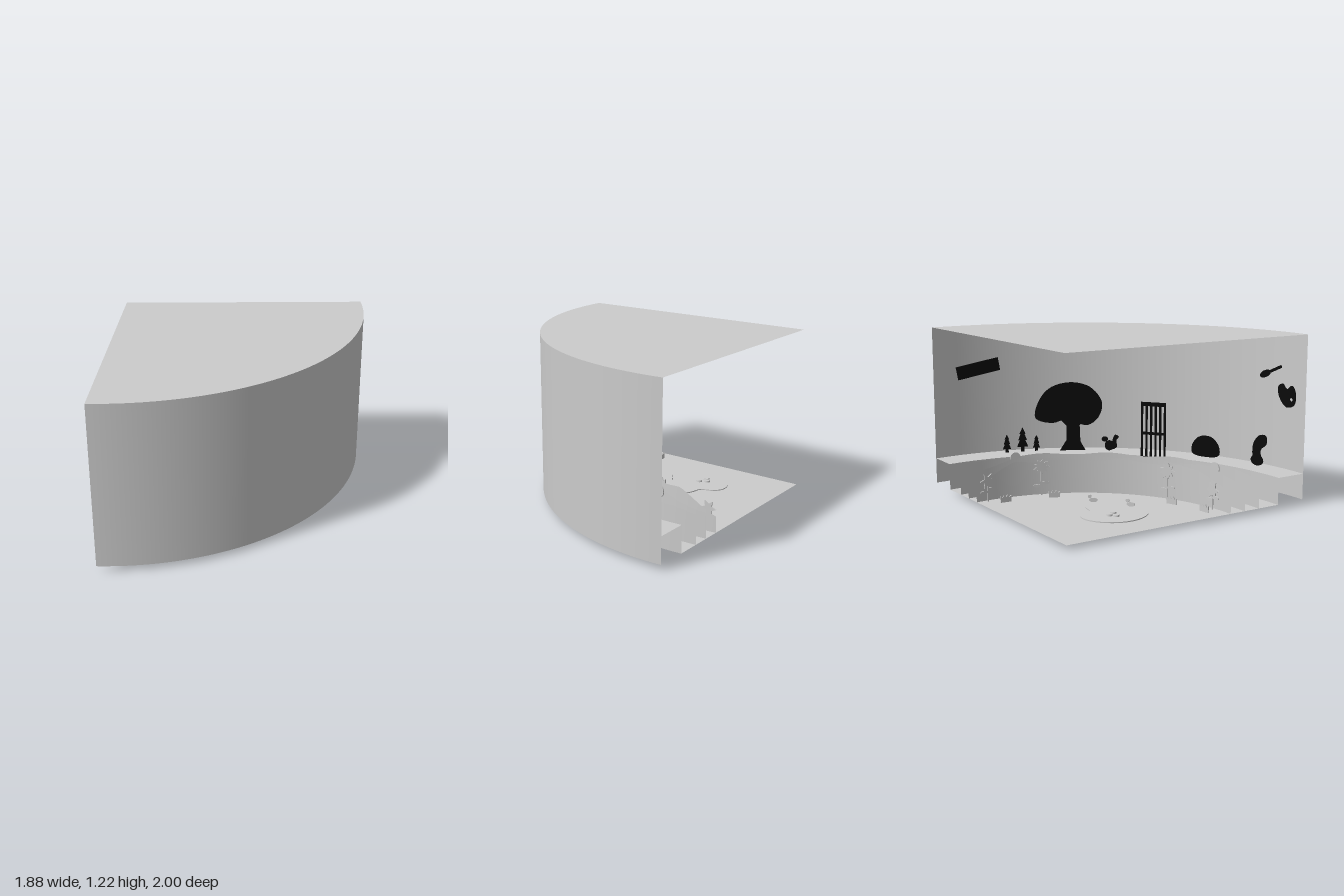
import * as THREE from 'three';

const CX = -0.92, CZ = -0.86, R = 1.86, FLOOR = 0.035, TOP = 1.22, LEDGE = 0.225;
const rad = THREE.MathUtils.degToRad;
const grey = new THREE.MeshStandardMaterial({ color: 0xcccccc, side: THREE.DoubleSide });
const black = new THREE.MeshStandardMaterial({ color: 0x0a0a0a, side: THREE.DoubleSide });

// point on the arc of radius r at fraction t between the two open sides
function arc(r, t, y) {
  const a0 = -(0.08 / r + 0.033), a1 = rad(90.5);
  const a = a0 + (a1 - a0) * t;
  return [CX + r * Math.cos(a), y, CZ + r * Math.sin(a)];
}

// surface spanned between two curves
function sheet(name, fa, fb, n = 72) {
  const pos = [], idx = [];
  for (let i = 0; i <= n; i++) {
    pos.push(...fa(i / n), ...fb(i / n));
    if (i < n) idx.push(2 * i, 2 * i + 1, 2 * i + 2, 2 * i + 1, 2 * i + 3, 2 * i + 2);
  }
  const g = new THREE.BufferGeometry();
  g.setAttribute('position', new THREE.Float32BufferAttribute(pos, 3));
  g.setIndex(idx);
  g.computeVertexNormals();
  const m = new THREE.Mesh(g, grey);
  m.name = name;
  return m;
}

// flat outlines
const poly = (pts) => new THREE.Shape(pts.map(([x, y]) => new THREE.Vector2(x, y)));
const blob = (pts) => new THREE.Shape(
  new THREE.CatmullRomCurve3(pts.map(([x, y]) => new THREE.Vector3(x, y, 0)), true)
    .getPoints(48).slice(0, 48).map((p) => new THREE.Vector2(p.x, p.y)));
const oval = (x, y, a, b) => new THREE.Shape().absellipse(x, y, a, b, 0, Math.PI * 2);
const rect = (x0, y0, x1, y1) => poly([[x0, y0], [x1, y0], [x1, y1], [x0, y1]]);
function star(x, y, n, r0, r1) {
  const p = [];
  for (let i = 0; i < 2 * n; i++) {
    const a = Math.PI * i / n, r = i % 2 ? r0 : r1;
    p.push([x + r * Math.cos(a), y + r * Math.sin(a)]);
  }
  return poly(p);
}

// cutout board standing on the arc, facing the open corner
function cutout(name, r, deg, y, shapes, mat = black, tilt = 0) {
  const a = rad(deg), g = new THREE.Group();
  g.name = name;
  for (const s of shapes) {
    const geo = new THREE.ExtrudeGeometry(s, { depth: 0.008, bevelEnabled: false, curveSegments: 16 });
    const m = new THREE.Mesh(geo, mat);
    m.name = name + 'Board';
    g.add(m);
  }
  g.position.set(CX + r * Math.cos(a), y, CZ + r * Math.sin(a));
  g.rotation.set(0, Math.atan2(-Math.cos(a), -Math.sin(a)), tilt);
  return g;
}

function pine(h) {
  const p = [[0.012, 0], [0.012, 0.2 * h]];
  for (const [w, y] of [[0.045, 0.2], [0.022, 0.48], [0.035, 0.48], [0.016, 0.74], [0.025, 0.74]]) p.push([w * h / 0.2, y * h]);
  return poly([...p, [0, h], ...p.slice().reverse().map(([x, y]) => [-x, y])]);
}

export function createModel() {
  const model = new THREE.Group();
  model.name = 'quarterRoundDiorama';
  const corner = (y) => () => [-0.91, y, -0.94];
  const ring = (r, y) => (t) => arc(r, t, y);

  // shell: curved wall, roof, floor, raised ledge and its step
  model.add(
    sheet('backWall', ring(R, FLOOR), ring(R, TOP)),
    sheet('roof', corner(TOP), ring(R, TOP)),
    sheet('floor', corner(FLOOR - 0.005), ring(1.63, FLOOR - 0.005)),
    sheet('ledge', ring(1.63, LEDGE), ring(R - 0.002, LEDGE)),
    sheet('ledgeStep', ring(1.63, FLOOR - 0.005), ring(1.63, LEDGE)));

  // scenery strips with wavy tops
  [[1.455, 0.235, 0.035, 0], [1.33, 0.2, 0.075, 2], [1.205, 0.15, 0.13, 4]].forEach(([r, h, rise, ph], i) =>
    model.add(sheet('sceneryStrip' + (i + 1), ring(r, 0.03),
      (t) => arc(r, t, h + rise * Math.min(1, 2.2 * Math.sin(Math.PI * t)) + 0.008 * Math.sin(30 * t + ph)))));

  // silhouettes on the ledge
  const tree = [
    poly([[-0.11, 0], [0.09, 0], [0.05, 0.07], [0.045, 0.2], [0.15, 0.32], [-0.18, 0.32], [-0.06, 0.2], [-0.06, 0.08]]),
    blob([[-0.3, 0.26], [-0.17, 0.22], [-0.05, 0.25], [0.1, 0.2], [0.19, 0.26], [0.22, 0.38],
      [0.13, 0.5], [-0.02, 0.54], [-0.18, 0.5], [-0.27, 0.4]])];
  model.add(cutout('bigTree', 1.77, 30, LEDGE, tree));
  [[13, 0.14], [17, 0.19], [20.5, 0.125]].forEach(([a, h]) => model.add(cutout('pineTree', 1.79, a, LEDGE, [pine(h)])));
  model.add(cutout('squirrel', 1.77, 39, LEDGE, [
    oval(0, 0.04, 0.035, 0.04), oval(-0.035, 0.09, 0.025, 0.02),
    blob([[0.02, 0.01], [0.06, 0.03], [0.055, 0.08], [0.075, 0.11], [0.045, 0.125], [0.025, 0.08]])]));
  model.add(cutout('bush', 1.79, 64, LEDGE, [
    blob([[-0.11, 0.02], [0, 0], [0.11, 0.02], [0.11, 0.09], [0.05, 0.155], [-0.05, 0.155], [-0.11, 0.09]])]));
  model.add(cutout('bentStump', 1.79, 78.5, LEDGE, [
    oval(0, 0.04, 0.055, 0.04),
    blob([[-0.03, 0.05], [0.03, 0.05], [0.03, 0.12], [0.08, 0.17], [0.075, 0.23], [0.02, 0.23], [-0.035, 0.16]])]));

  // barred gate in the middle
  const bars = [rect(-0.095, 0, 0.095, 0.03), rect(-0.095, 0.2, 0.095, 0.22), rect(-0.095, 0.42, 0.095, 0.45)];
  for (let i = 0; i < 6; i++) {
    const x = -0.09 + i * 0.036;
    bars.push(rect(x - 0.008, 0, x + 0.008, 0.45));
  }
  model.add(cutout('gate', 1.6, 52, 0.2, bars));

  // pieces hung on the wall
  model.add(cutout('tiltedBoard', 1.83, 6.5, 0.89, [rect(-0.17, -0.05, 0.17, 0.05)], black, rad(10)));
  const palette = blob([[-0.08, 0.06], [-0.07, -0.01], [0, -0.08], [0.07, -0.06], [0.085, 0.02], [0.05, 0.08], [0, 0.05], [-0.04, 0.085]]);
  palette.holes.push(new THREE.Path().absellipse(0.045, -0.02, 0.014, 0.014, 0, Math.PI * 2));
  model.add(cutout('palette', 1.84, 85.4, 0.765, [palette]));
  model.add(cutout('brush', 1.84, 80.7, 0.93, [oval(-0.06, 0, 0.05, 0.025), rect(-0.04, -0.01, 0.1, 0.01)], black, rad(25)));

  // flowers between the strips
  const leaves = [oval(-0.03, 0.07, 0.03, 0.012), oval(0.03, 0.09, 0.03, 0.012)];
  const flower = (r, a, y0, h, head) =>
    model.add(cutout('flower', r, a, y0, [rect(-0.005, 0, 0.005, h - 0.03), ...leaves, head], grey));
  flower(1.35, 11, 0.03, 0.25, oval(0, 0.25, 0.04, 0.045));
  flower(1.356, 76.8, 0, 0.27, oval(0, 0.27, 0.04, 0.045));
  flower(1.19, 18, 0.03, 0.21, star(0, 0.21, 9, 0.035, 0.06));
  flower(1.19, 63.5, 0.03, 0.21, star(0, 0.21, 9, 0.035, 0.06));
  flower(1.18, -2, 0.03, 0.15, star(0, 0.15, 6, 0.03, 0.06));
  flower(1.18, 83, 0.03, 0.14, star(0, 0.14, 6, 0.03, 0.06));

  // grass tufts on the floor
  const tuft = poly([[-0.04, 0], [0.04, 0], [0.042, 0.045], [0.025, 0.035], [0.015, 0.055], [0, 0.035], [-0.015, 0.05], [-0.025, 0.035], [-0.042, 0.05]]);
  for (const a of [3, 22, 68, 83]) model.add(cutout('grassTuft', 1.1, a, 0.03, [tuft], grey));

  // notched pond set into the floor
  const pts = [];
  for (let i = 0; i < 32; i++) {
    const a = i / 32 * Math.PI * 2;
    const d = Math.atan2(Math.sin(a - 0.88), Math.cos(a - 0.88));
    const r = 0.255 * (1 - 0.42 * Math.exp(-d * d * 5));
    pts.push([r * Math.cos(a), r * Math.sin(a)]);
  }
  const pond = new THREE.Mesh(new THREE.ExtrudeGeometry(blob(pts), { depth: 0.022, bevelEnabled: false }), grey);
  pond.name = 'pond';
  pond.rotation.x = -Math.PI / 2;
  pond.position.set(-0.455, 0.015, -0.315);
  model.add(pond);

  // lily pads and small birds around the pond
  [[-0.53, -0.38], [-0.5, -0.33], [-0.57, -0.35]].forEach(([x, z]) => {
    const pad = new THREE.Mesh(new THREE.CylinderGeometry(0.02, 0.022, 0.012, 12), grey);
    pad.name = 'lilyPad';
    pad.position.set(x, 0.043, z);
    model.add(pad);
  });
  const bird = [oval(0, 0.02, 0.03, 0.016), oval(-0.025, 0.045, 0.013, 0.013)];
  for (const [x, z] of [[-0.18, -0.29], [-0.42, -0.13]])
    model.add(cutout('bird', Math.hypot(x - CX, z - CZ), Math.atan2(z - CZ, x - CX) * 180 / Math.PI, 0.032, bird, grey));
  return model;
}
